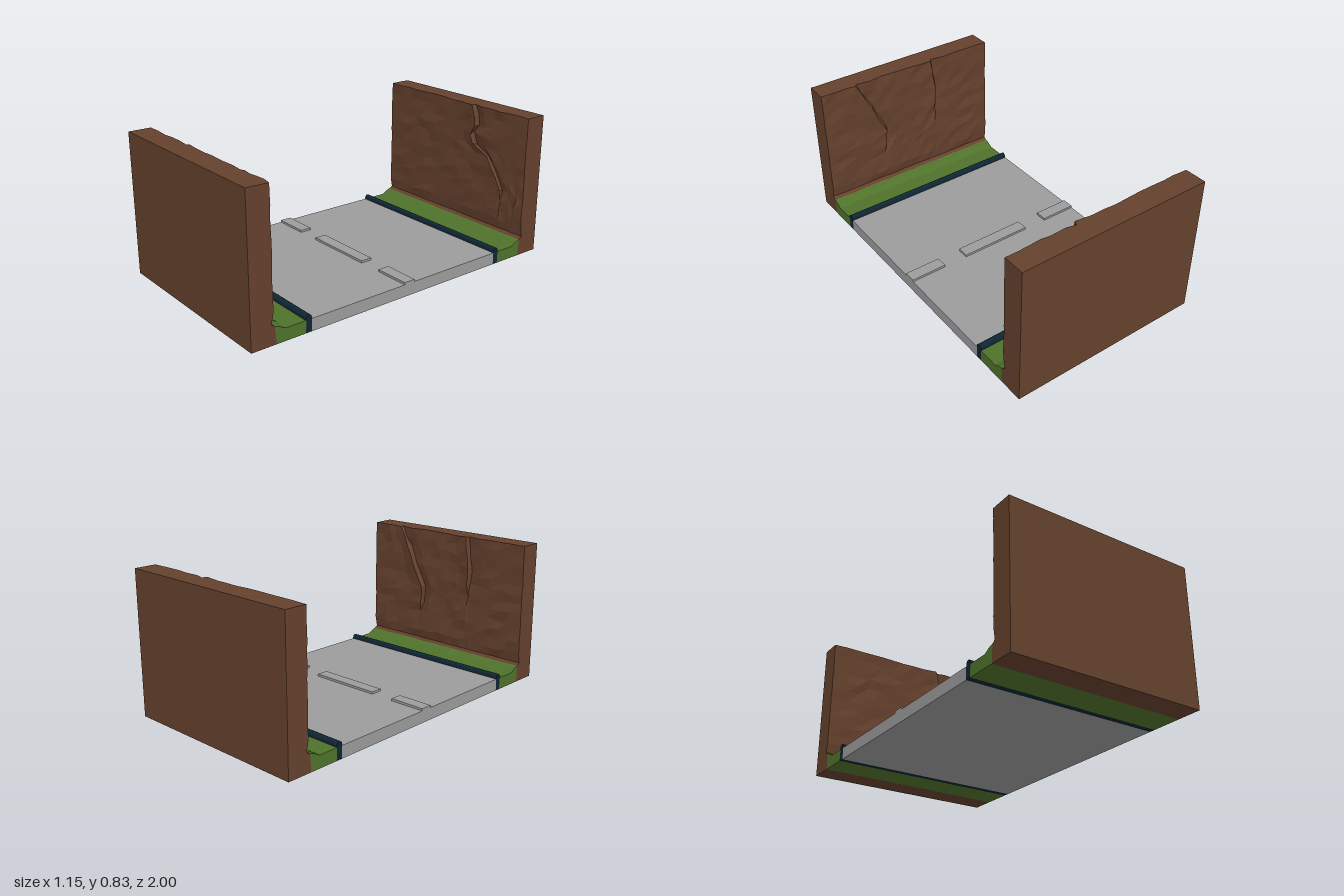
import * as THREE from 'three';

const HALF = 0.575; // half length along x

const mat = (name, color) => {
  const m = new THREE.MeshStandardMaterial({ color });
  m.name = name;
  return m;
};

// Deterministic noise in -1..1
function noise(i, j, seed) {
  const s = Math.sin(i * 127.1 + j * 311.7 + seed * 74.7) * 43758.5453;
  return 2 * (s - Math.floor(s)) - 1;
}

// Solid from closed cross-sections: sections[i] is a loop of [x, y, z], counter-clockwise in (z, y)
function loft(sections) {
  const n = sections[0].length, last = sections.length - 1;
  const index = [];
  for (let i = 0; i < last; i++) {
    for (let j = 0; j < n; j++) {
      const k = (j + 1) % n;
      const a = i * n + j, b = a + n, c = (i + 1) * n + k, d = i * n + k;
      index.push(a, b, c, a, c, d);
    }
  }
  for (const [s, flip] of [[0, false], [last, true]]) {
    const outline = sections[s].map(p => new THREE.Vector2(p[2], p[1]));
    for (const [a, b, c] of THREE.ShapeUtils.triangulateShape(outline, [])) {
      const o = s * n;
      if (flip) index.push(o + a, o + c, o + b);
      else index.push(o + a, o + b, o + c);
    }
  }
  const g = new THREE.BufferGeometry();
  g.setAttribute('position', new THREE.Float32BufferAttribute(sections.flat(2), 3));
  g.setIndex(index);
  const faceted = g.toNonIndexed();
  faceted.computeVertexNormals();
  return faceted;
}

// Crack position x at height y, from [y, x] points
function crackX(path, y) {
  if (y <= path[0][0]) return path[0][1];
  for (let k = 1; k < path.length; k++) {
    const [y0, x0] = path[k - 1], [y1, x1] = path[k];
    if (y <= y1) return x0 + (x1 - x0) * (y - y0) / (y1 - y0);
  }
  return path[path.length - 1][1];
}

// Rock wall facing +z: rough grid split by stepped cracks
function cliffGeometry(cracks, seed) {
  const rows = 11, sections = [];
  let col = 0;
  for (let s = 0; s <= cracks.length; s++) {
    const left = y => s ? crackX(cracks[s - 1], y) + 0.012 : -HALF;
    const right = y => s < cracks.length ? crackX(cracks[s], y) : HALF;
    const cells = Math.max(3, Math.round((right(0.6) - left(0.6)) / 0.075));
    for (let c = 0; c <= cells; c++, col++) {
      const at = y => left(y) + (right(y) - left(y)) * c / cells;
      const edge = (s === 0 && c === 0) || (s === cracks.length && c === cells);
      const loop = [
        [at(0), 0, -0.855],
        [at(0.09), 0.09, -0.855 - 0.003 * noise(col, 50, seed)],
        [at(0.11), 0.112, -0.88 + 0.003 * noise(col, 51, seed)],
      ];
      for (let r = 0; r <= rows; r++) {
        const top = r === rows;
        const y0 = 0.17 + 0.655 * r / rows;
        const y = y0 + (top ? 0.002 : 0.012) * noise(col, r, seed);
        const x = at(y0) + (c === 0 || c === cells ? 0 : 0.014 * noise(col, r + 20, seed));
        // the rock stands proud on the left of a crack and falls back on its right
        const range = s && c === 0 ? cracks[s - 1] : s < cracks.length && c === cells ? cracks[s] : null;
        const open = range && y0 >= range[0][0] ? (c === 0 ? -0.013 : 0.009) : 0;
        const z = -0.87 + (edge ? 0.003 : 0.006) * noise(col, r + 40, seed) + open;
        loop.push([x, y, z]);
      }
      loop.push([at(0.825), 0.825, -1], [at(0), 0, -1]);
      sections.push(loop);
    }
  }
  return loft(sections);
}

// Grass verge with a raised bank, gently wavy along its length
function vergeGeometry(seed) {
  const sections = [], n = 14;
  for (let i = 0; i <= n; i++) {
    const x = -HALF + 2 * HALF * i / n, w = 0.004 * noise(i, 3, seed);
    sections.push([
      [x, 0, -0.68], [x, 0.07, -0.68], [x, 0.07, -0.8 + w],
      [x, 0.089 + w * 0.3, -0.834 + w], [x, 0.098 + w * 0.4, -0.862 + w], [x, 0, -0.855],
    ]);
  }
  return loft(sections);
}

// Round-topped kerb
function kerbGeometry() {
  const r = 0.018, z = -0.664;
  return loft([-HALF, HALF].map(x => {
    const loop = [[x, 0, z + r]];
    for (let k = 0; k <= 8; k++) {
      const a = Math.PI * k / 8;
      loop.push([x, 0.079 + r * Math.sin(a), z + r * Math.cos(a)]);
    }
    loop.push([x, 0, z - r]);
    return loop;
  }));
}

export function createModel() {
  const model = new THREE.Group();
  model.name = 'canyonRoad';
  const rock = mat('rock brown', 0x65412d);
  const grass = mat('grass green', 0x4f722b);
  const kerb = mat('kerb navy', 0x0f2532);
  const asphalt = mat('road grey', 0x9c9c9c);

  const add = (parent, name, geometry, material) => {
    const mesh = new THREE.Mesh(geometry, material);
    mesh.name = name;
    parent.add(mesh);
    return mesh;
  };

  // Road slab and raised lane dashes
  add(model, 'road', new THREE.BoxGeometry(2 * HALF, 0.07, 1.292), asphalt).position.y = 0.035;
  for (const [x0, x1] of [[-HALF, -0.36], [-0.215, 0.215], [0.36, HALF]]) {
    add(model, 'laneDash', new THREE.BoxGeometry(x1 - x0, 0.013, 0.07), asphalt)
      .position.set((x0 + x1) / 2, 0.0765, 0);
  }

  // Roadsides: kerb, verge and rock wall; the front one is turned to face the back one
  const sides = [
    ['backSide', 0, 1, [[[0.34, 0.4], [0.46, 0.33], [0.57, 0.25], [0.6, 0.11], [0.72, 0.19], [0.83, 0.15]]]],
    ['frontSide', Math.PI, 2, [
      [[0.3, -0.19], [0.46, -0.17], [0.58, -0.24], [0.66, -0.27], [0.83, -0.36]],
      [[0.5, 0.18], [0.62, 0.19], [0.83, 0.16]],
    ]],
  ];
  for (const [name, turn, seed, cracks] of sides) {
    const side = new THREE.Group();
    side.name = name;
    side.rotation.y = turn;
    add(side, 'kerb', kerbGeometry(), kerb);
    add(side, 'grassVerge', vergeGeometry(seed), grass);
    add(side, 'rockWall', cliffGeometry(cracks, seed), rock);
    model.add(side);
  }
  return model;
}
